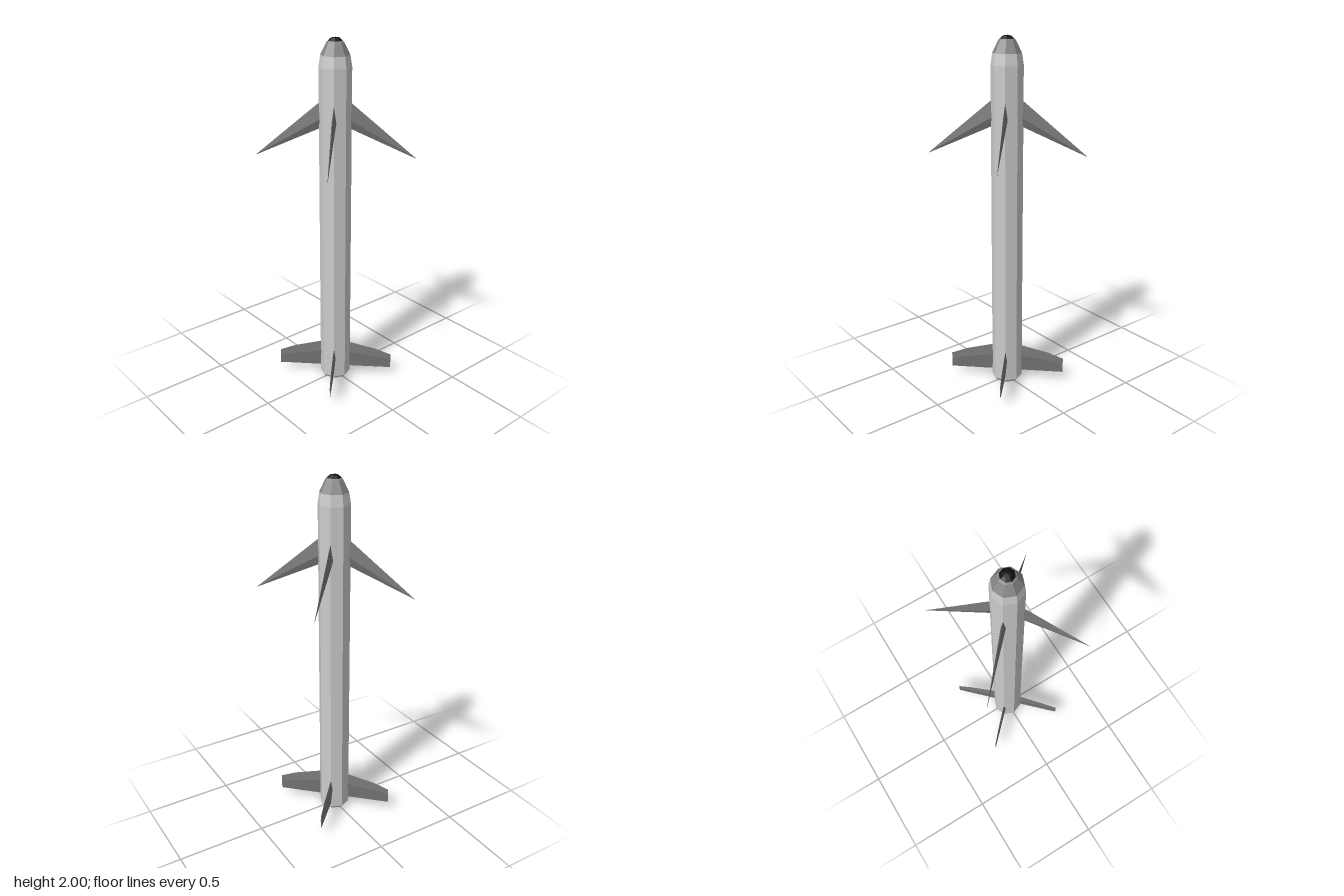
import * as THREE from 'three';

const material = (color) => new THREE.MeshStandardMaterial({ color, flatShading: true });

// Eight-sided turned part from [radius, height] pairs, listed bottom to top
function turned(name, profile, mat) {
  const points = profile.map(([r, y]) => new THREE.Vector2(r, y));
  const mesh = new THREE.Mesh(new THREE.LatheGeometry(points, 8), mat);
  mesh.name = name;
  return mesh;
}

// Fin lofted outward along +x through diamond sections:
// [distance, top, bottom, half thickness]; ridge = height share of the thickest line
function finGeometry(sections, ridge) {
  const positions = [];
  const index = [];
  for (const [x, top, bottom, half] of sections) {
    const mid = bottom + (top - bottom) * ridge;
    positions.push(x, top, 0, x, mid, half, x, bottom, 0, x, mid, -half);
  }
  for (let s = 0; s < sections.length - 1; s++) {
    for (let k = 0; k < 4; k++) {
      const a = s * 4 + k;
      const b = s * 4 + ((k + 1) % 4);
      index.push(a, b, a + 4, b, b + 4, a + 4);
    }
  }
  // Close the outer end
  const e = (sections.length - 1) * 4;
  index.push(e, e + 1, e + 2, e, e + 2, e + 3);
  const geometry = new THREE.BufferGeometry();
  geometry.setAttribute('position', new THREE.Float32BufferAttribute(positions, 3));
  geometry.setIndex(index);
  geometry.computeVertexNormals();
  return geometry;
}

// Four copies of a fin on the diagonals
function finSet(name, geometry, mat) {
  const set = new THREE.Group();
  set.name = name + 's';
  for (let i = 0; i < 4; i++) {
    const fin = new THREE.Mesh(geometry, mat);
    fin.name = name;
    fin.rotation.y = Math.PI / 4 + (i * Math.PI) / 2;
    set.add(fin);
  }
  return set;
}

export function createModel() {
  const model = new THREE.Group();
  model.name = 'missile';
  const bodyGrey = material(0xcccccc);
  const noseGrey = material(0x888888);
  const finGrey = material(0x777777);
  const black = material(0x111111);

  // Body with bevelled tail and tapering shoulder
  model.add(turned('body', [[0, 0], [0.07, 0], [0.0875, 0.02], [0.0875, 1.85], [0.078, 1.91]], bodyGrey));

  // Nose cone and dark seeker dome
  model.add(turned('noseCone', [[0.078, 1.91], [0.046, 1.975], [0.038, 1.982]], noseGrey));
  model.add(turned('noseTip', [[0.038, 1.982], [0.022, 1.996], [0, 2]], black));

  // Long swept fins near the nose
  const wing = finGeometry([
    [0.075, 1.67, 1.525, 0.013],
    [0.431, 1.37, 1.367, 0.0005],
  ], 0.35);
  model.add(finSet('frontFin', wing, finGrey));

  // Short tail fins with a kinked leading edge
  const tail = finGeometry([
    [0.075, 0.213, 0.048, 0.009],
    [0.243, 0.172, 0.048, 0.006],
    [0.332, 0.137, 0.048, 0.003],
  ], 0.6);
  model.add(finSet('tailFin', tail, finGrey));

  return model;
}
